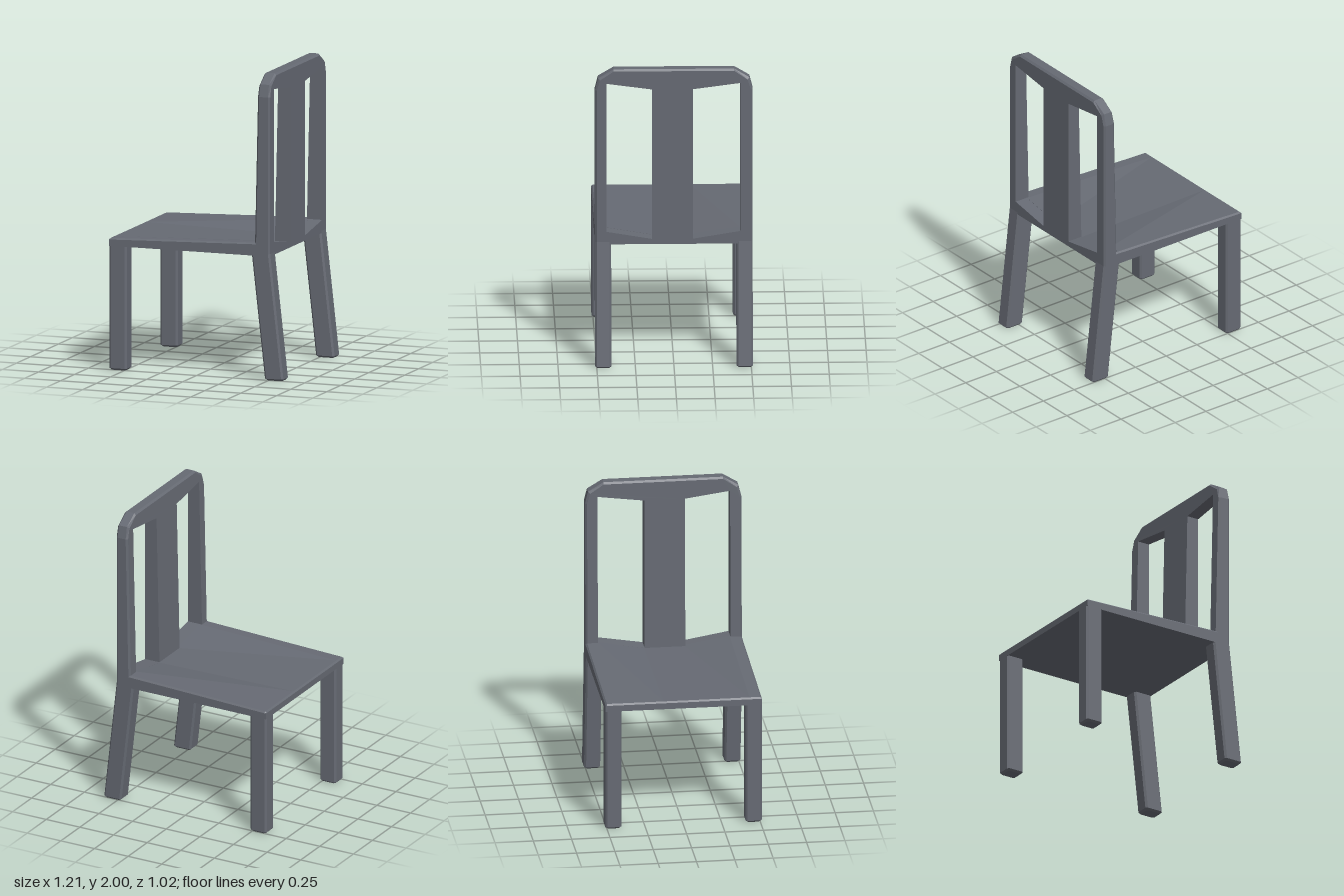
import * as THREE from 'three';

const material = new THREE.MeshStandardMaterial({ color: 0x666a73, flatShading: true });
const BEVEL = 0.012;

function addPart(group, name, geometry) {
  geometry.computeVertexNormals();
  const mesh = new THREE.Mesh(geometry, material);
  mesh.name = name;
  group.add(mesh);
}

// Moves every vertex of a geometry by a rule
function reshape(geometry, rule) {
  const pos = geometry.attributes.position;
  const v = new THREE.Vector3();
  for (let i = 0; i < pos.count; i++) {
    rule(v.fromBufferAttribute(pos, i));
    pos.setXYZ(i, v.x, v.y, v.z);
  }
  return geometry;
}

const polygon = (pts, Kind = THREE.Shape) => new Kind(pts.map(([x, y]) => new THREE.Vector2(x, y)));
const layered = (shape, steps) => new THREE.ExtrudeGeometry(shape, { depth: steps, steps, bevelEnabled: false });

// Leg: chamfered square section running from foot (x at floor) to seat
function legGeometry(footX, topX, width, z) {
  const w = width / 2, d = 0.0525, b = BEVEL;
  const section = polygon([
    [w - b, -d], [w, -d + b], [w, d - b], [w - b, d],
    [b - w, d], [-w, d - b], [-w, b - d], [b - w, -d],
  ]);
  const heights = [0, BEVEL, 0.83];
  const geometry = reshape(layered(section, 2), (v) => {
    const layer = Math.round(v.z);
    if (layer === 0) { v.x *= 1 - b / w; v.y *= 1 - b / d; }
    v.z = heights[layer];
    v.x += THREE.MathUtils.lerp(footX, topX, v.z / 0.83);
  });
  return geometry.rotateX(-Math.PI / 2).translate(0, 0, z);
}

// Seat: top rises at the back corners and dips at the back centre
function seatGeometry() {
  const xs = [-0.605, -0.595, 0.42];
  const zs = [-0.51, -0.5, -0.43, -0.13, 0.13, 0.43, 0.5, 0.51];
  const geometry = new THREE.BoxGeometry(2, 1, 7, 2, 1, 7);
  reshape(geometry, (v) => {
    const xi = Math.round(v.x + 1), zi = Math.round(v.z + 3.5);
    v.x = xs[xi];
    v.z = zs[zi];
    if (v.y < 0) { v.y = 0.815; return; }
    const back = Math.abs(v.z) < 0.2 ? 0.85 : 0.9;
    v.y = THREE.MathUtils.lerp(0.866, back, (v.x + 0.605) / 1.015);
    if (xi === 0 || zi === 0 || zi === 7) v.y -= 0.01;
  });
  return geometry.toNonIndexed();
}

// Backrest: frame with two openings, tapering in thickness towards the top
function backrestGeometry() {
  const frame = polygon([
    [-0.51, 0.815], [0.51, 0.815], [0.51, 1.86], [0.49, 1.94], [0.39, 2],
    [-0.39, 2], [-0.49, 1.94], [-0.51, 1.86],
  ]);
  frame.holes.push(
    polygon([[-0.435, 0.9], [-0.14, 0.85], [-0.14, 1.865], [-0.435, 1.905]], THREE.Path),
    polygon([[0.43, 0.9], [0.125, 0.85], [0.125, 1.865], [0.43, 1.905]], THREE.Path),
  );
  const geometry = reshape(layered(frame, 3), (v) => {
    const layer = Math.round(v.z);
    const front = 0.403 + (v.y - 0.815) * 0.0215;
    v.z = [0.51 - (0.51 - front), front + BEVEL, 0.51 - BEVEL, 0.51][layer];
    // Chamfer the outer rim only
    if (layer === 0 || layer === 3) {
      if (Math.abs(v.x) > 0.45) v.x -= Math.sign(v.x) * BEVEL;
      if (v.y > 1.92) v.y -= BEVEL;
    }
  });
  return geometry.rotateY(Math.PI / 2);
}

export function createModel() {
  const chair = new THREE.Group();
  chair.name = 'chair';
  addPart(chair, 'seat', seatGeometry());
  addPart(chair, 'backrest', backrestGeometry());
  for (const [side, s] of [['left', 1], ['right', -1]]) {
    addPart(chair, `${side}StraightLeg`, legGeometry(-0.545, -0.545, 0.12, s * 0.4575));
    addPart(chair, `${side}SplayedLeg`, legGeometry(0.539, 0.446, 0.128, s * 0.4575));
  }
  return chair;
}
